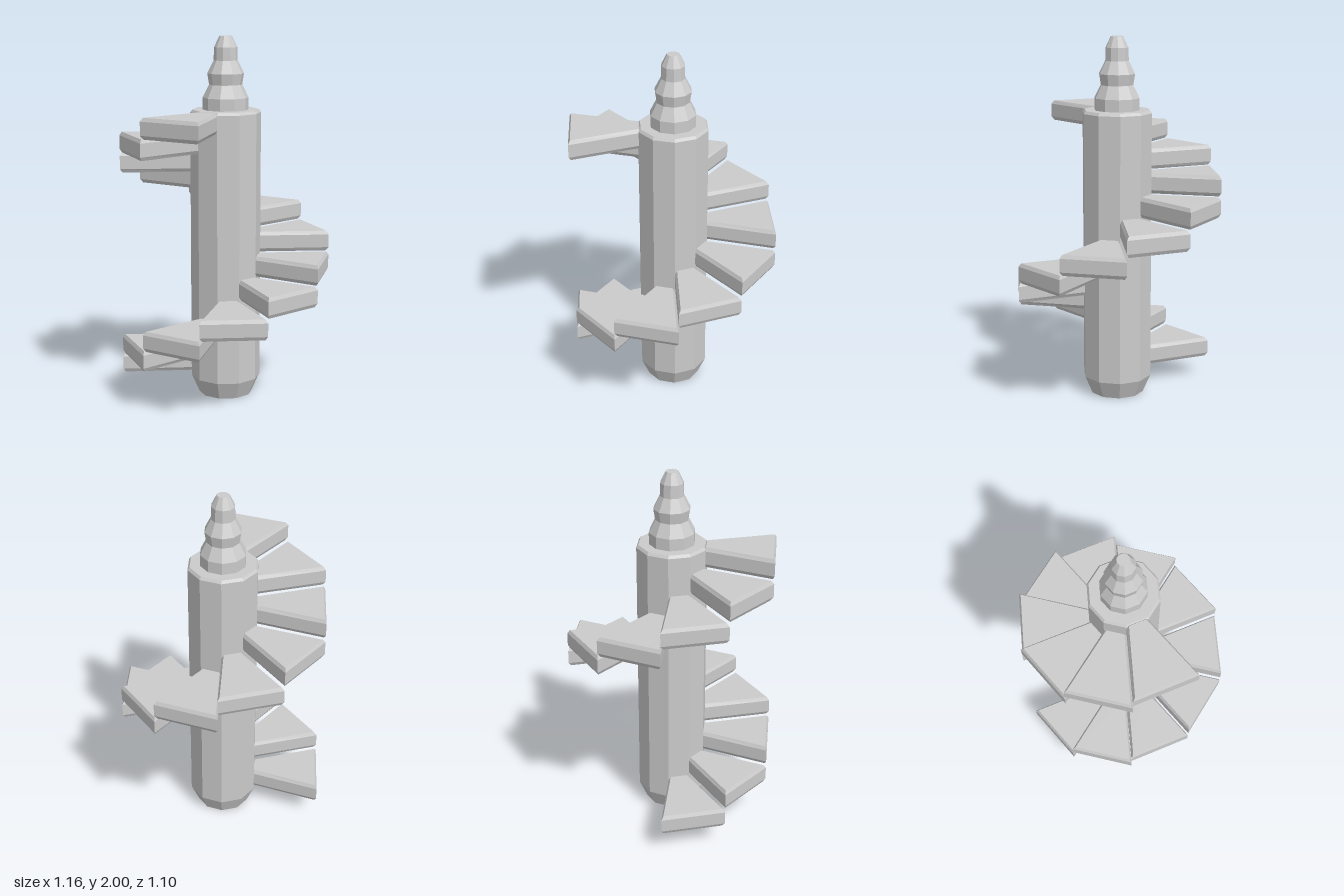
import * as THREE from 'three';

const SIDES = 10;
const SECTOR = (Math.PI * 2) / SIDES;

export function createModel() {
  const group = new THREE.Group();
  const material = new THREE.MeshStandardMaterial({ color: 0xcccccc, flatShading: true });

  const add = (name, geometry) => {
    const mesh = new THREE.Mesh(geometry, material);
    mesh.name = name;
    group.add(mesh);
    return mesh;
  };

  // Ten-sided turned part with a corner on the x axis
  const turned = (profile) =>
    new THREE.LatheGeometry(profile.map(([r, y]) => new THREE.Vector2(r, y)), SIDES, SECTOR / 2);

  // Central column, tapered at the foot and chamfered at the top
  add('column', turned([[0, 0], [0.15, 0], [0.193, 0.1], [0.193, 1.59], [0.182, 1.605], [0, 1.605]]));

  // Three-tier finial
  add('finial', turned([
    [0.125, 1.6], [0.125, 1.67], [0.09, 1.74], [0.1, 1.8],
    [0.065, 1.87], [0.063, 1.94], [0.034, 2], [0, 2],
  ]));

  // Wedge-shaped tread spanning one sector, with chamfered edges
  const inner = 0.18, outer = 0.578, height = 0.113, bevel = 0.012, bevelHeight = 0.02;
  const corner = (r, a) => new THREE.Vector2(r * Math.cos(a), r * Math.sin(a));
  const tread = new THREE.ExtrudeGeometry(
    new THREE.Shape([corner(inner, 0), corner(outer, 0), corner(outer, SECTOR), corner(inner, SECTOR)]),
    {
      depth: height - 2 * bevelHeight, bevelEnabled: true, bevelSegments: 1,
      bevelSize: bevel, bevelOffset: -bevel, bevelThickness: bevelHeight,
    }
  );
  tread.rotateX(Math.PI / 2).translate(0, height - bevelHeight, 0);

  // Treads climb one sector at a time around the column
  for (let i = 0; i < 13; i++) {
    const step = add(`step${i + 1}`, tread);
    step.position.y = 0.12 + i * 0.1142;
    step.rotation.y = (i - 4) * SECTOR;
  }

  return group;
}
